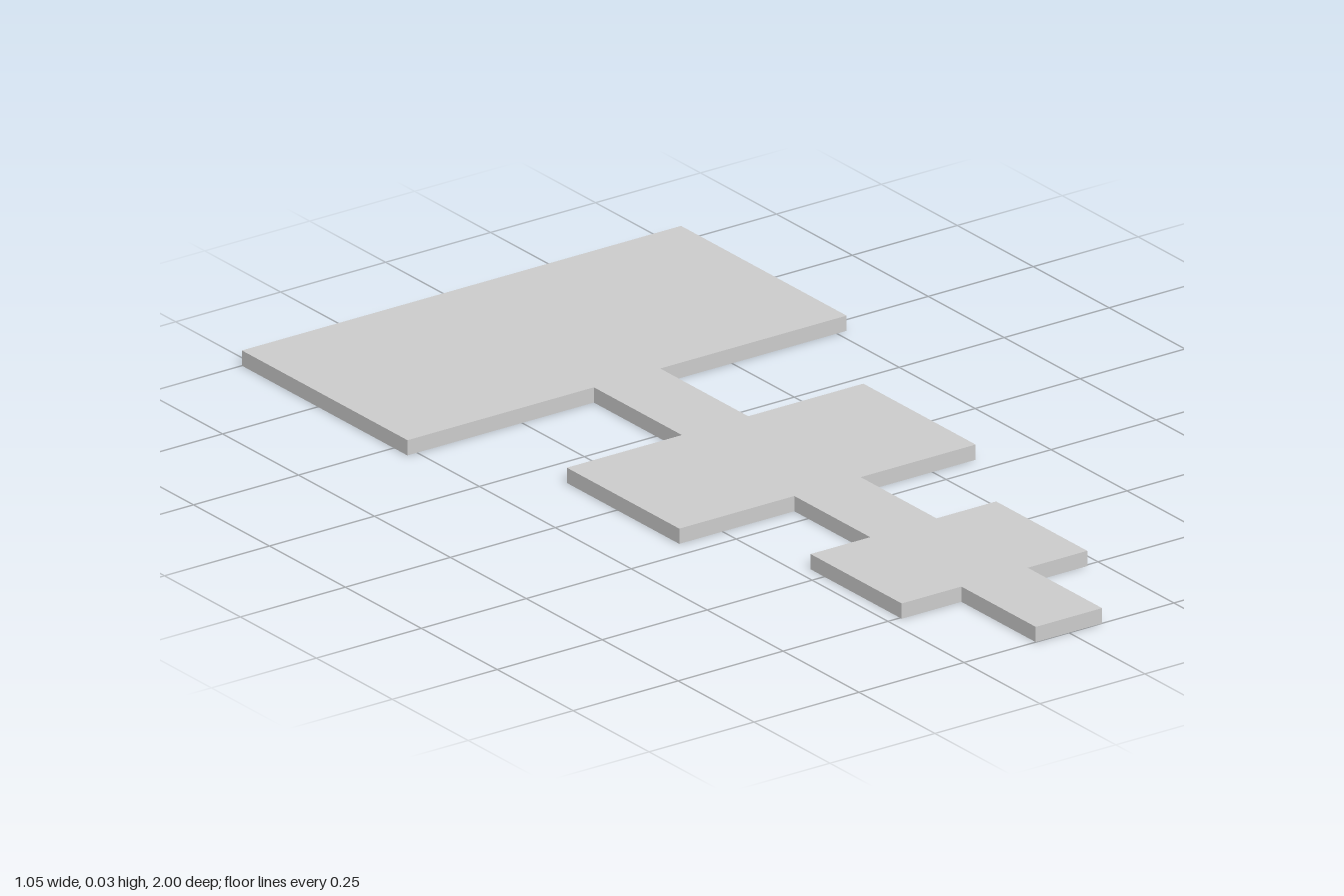
import * as THREE from 'three';

const THICKNESS = 0.032;

// Bands of the stepped outline, front to back: [front z, back z, half width]
const BANDS = [
  [1, 0.755, 0.079], // front tab
  [0.755, 0.455, 0.221], // small panel
  [0.455, 0.205, 0.079], // front neck
  [0.205, -0.165, 0.353], // middle panel
  [-0.165, -0.455, 0.079], // rear neck
  [-0.455, -1, 0.523], // large panel
];

export function createModel() {
  const group = new THREE.Group();
  group.name = 'steppedPlate';

  // One half of the outline, mirrored to close the shape (shape y = -z)
  const half = BANDS.flatMap(([front, back, w]) => [
    new THREE.Vector2(w, -front),
    new THREE.Vector2(w, -back),
  ]);
  const mirrored = half.map((p) => new THREE.Vector2(-p.x, p.y)).reverse();
  const outline = new THREE.Shape([...half, ...mirrored]);

  // Flat plate lying on the ground
  const geometry = new THREE.ExtrudeGeometry(outline, { depth: THICKNESS, bevelEnabled: false });
  geometry.rotateX(-Math.PI / 2);

  const plate = new THREE.Mesh(geometry, new THREE.MeshStandardMaterial({ color: 0xcccccc }));
  plate.name = 'plate';
  group.add(plate);
  return group;
}
